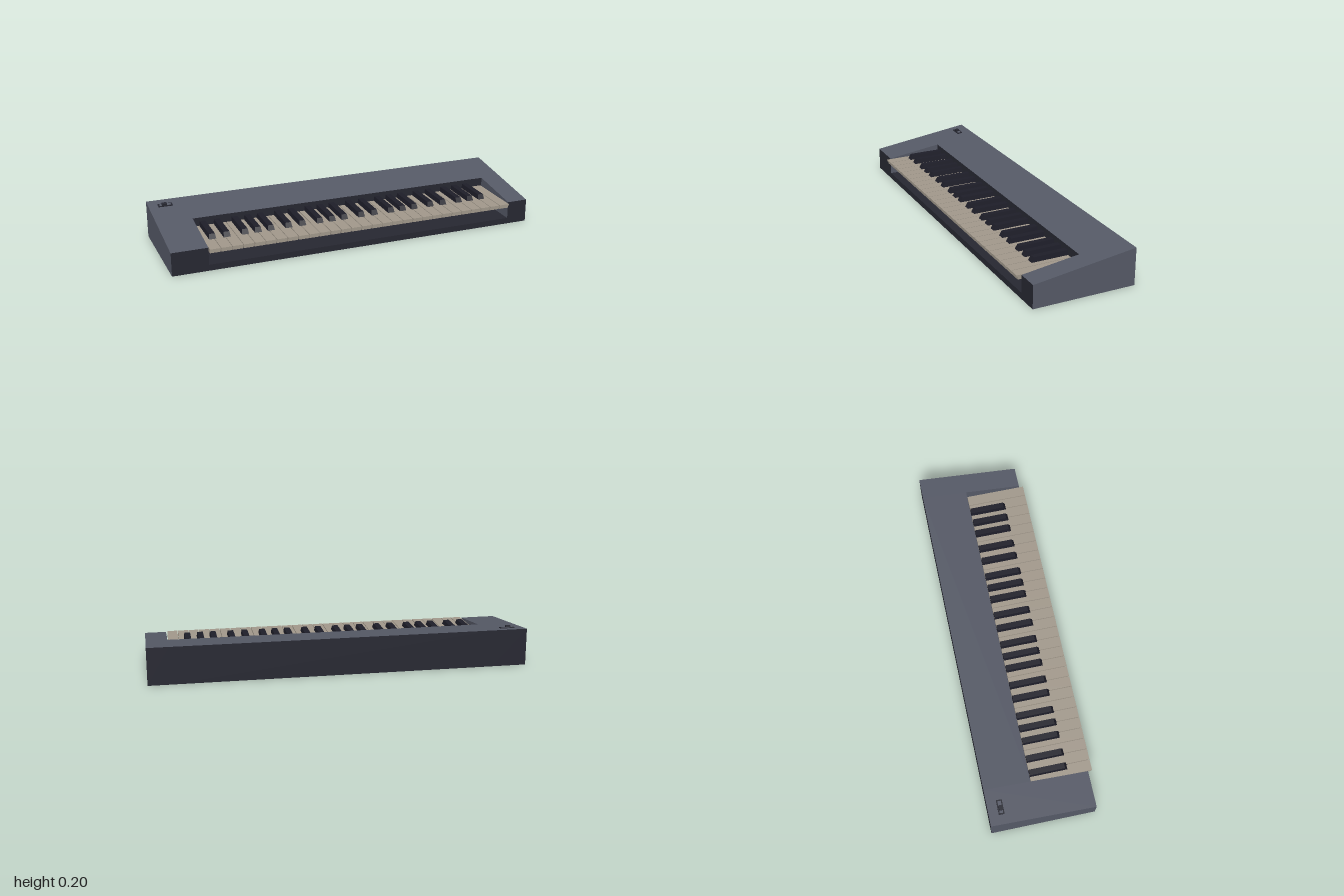
import * as THREE from 'three';

const material = (name, color) => {
  const m = new THREE.MeshStandardMaterial({ color });
  m.name = name;
  return m;
};

export function createModel() {
  const slate = material('slate grey', 0x555966);
  const dark = material('dark navy', 0x262731);
  const ivory = material('ivory', 0xa0978a);
  const black = material('key black', 0x1d1d28);

  const model = new THREE.Group();
  model.name = 'keyboard';

  const add = (parent, name, geometry, mat) => {
    const mesh = new THREE.Mesh(geometry, mat);
    mesh.name = name;
    parent.add(mesh);
    return mesh;
  };
  const group = (name) => {
    const g = new THREE.Group();
    g.name = name;
    model.add(g);
    return g;
  };
  // Box given by its limits on each axis
  const span = (x0, x1, y0, y1, z0, z1) =>
    new THREE.BoxGeometry(x1 - x0, y1 - y0, z1 - z0)
      .translate((x0 + x1) / 2, (y0 + y1) / 2, (z0 + z1) / 2);

  const front = 0.265, back = -0.287, wellBack = -0.041;
  const wellLeft = -0.81, wellRight = 0.886, wellFloor = 0.032;
  const slope = 0.074 / (front - back);
  const topY = (z) => 0.125 + (front - z) * slope;

  // Block whose upper face follows the sloping panel
  const wedge = (x0, x1, z0, z1) => {
    const g = span(x0, x1, 0, 1, z0, z1);
    const p = g.attributes.position;
    for (let i = 0; i < p.count; i++) if (p.getY(i) > 0.5) p.setY(i, topY(p.getZ(i)));
    g.computeVertexNormals();
    return g;
  };

  // Case: slate panel and ends, dark front, back and underside
  const body = group('case');
  const skin = [slate, slate, slate, dark, dark, dark];
  add(body, 'rightCheek', wedge(-1, wellLeft, back, front), skin);
  add(body, 'leftCheek', wedge(wellRight, 1, back, front), skin);
  add(body, 'rearPanel', wedge(wellLeft, wellRight, back, wellBack), skin);
  add(body, 'keyBed', span(wellLeft, wellRight, 0, wellFloor, wellBack, front), dark);

  // White keys: four octaves and one more, each with an overhanging lip
  const keys = group('keys');
  const count = 29, keyStart = -0.809, pitch = 1.689 / count, gap = 0.0035;
  for (let i = 0; i < count; i++) {
    const x0 = keyStart + i * pitch + gap / 2;
    const x1 = x0 + pitch - gap;
    add(keys, 'whiteKeyTop', span(x0, x1, 0.115, 0.123, -0.036, 0.287), ivory);
    add(keys, 'whiteKeyBody', span(x0, x1, 0.1, 0.115, -0.036, 0.28), ivory);
  }

  // Black keys: tapered sides and a sloping nose
  const blackKey = span(-0.021, 0.021, 0.105, 0.148, -0.036, 0.172);
  const bp = blackKey.attributes.position;
  for (let i = 0; i < bp.count; i++) {
    if (bp.getY(i) < 0.14) continue;
    bp.setX(i, bp.getX(i) * 0.72);
    if (bp.getZ(i) > 0) bp.setZ(i, 0.15);
  }
  blackKey.computeVertexNormals();
  // [white key boundary, sideways shift] within an octave
  const pattern = [[1, -0.009], [2, 0.009], [4, -0.011], [5, 0], [6, 0.011]];
  for (let octave = 0; octave < 4; octave++) {
    for (const [step, shift] of pattern) {
      const key = add(keys, 'blackKey', blackKey, black);
      key.position.x = keyStart + (octave * 7 + step) * pitch + shift;
    }
  }

  // Power switch set on the slope at the rear
  const power = group('powerSwitch');
  power.position.set(-0.912, topY(-0.221), -0.221);
  power.rotation.x = Math.atan(slope);
  add(power, 'switchPlate', span(-0.038, 0.038, -0.002, 0.004, -0.015, 0.015), dark);
  add(power, 'switchSlot', span(-0.031, 0.031, 0.003, 0.005, -0.009, 0.009), slate);
  add(power, 'switchKnob', span(-0.018, 0.008, 0, 0.0135, -0.009, 0.011), dark);

  return model;
}
